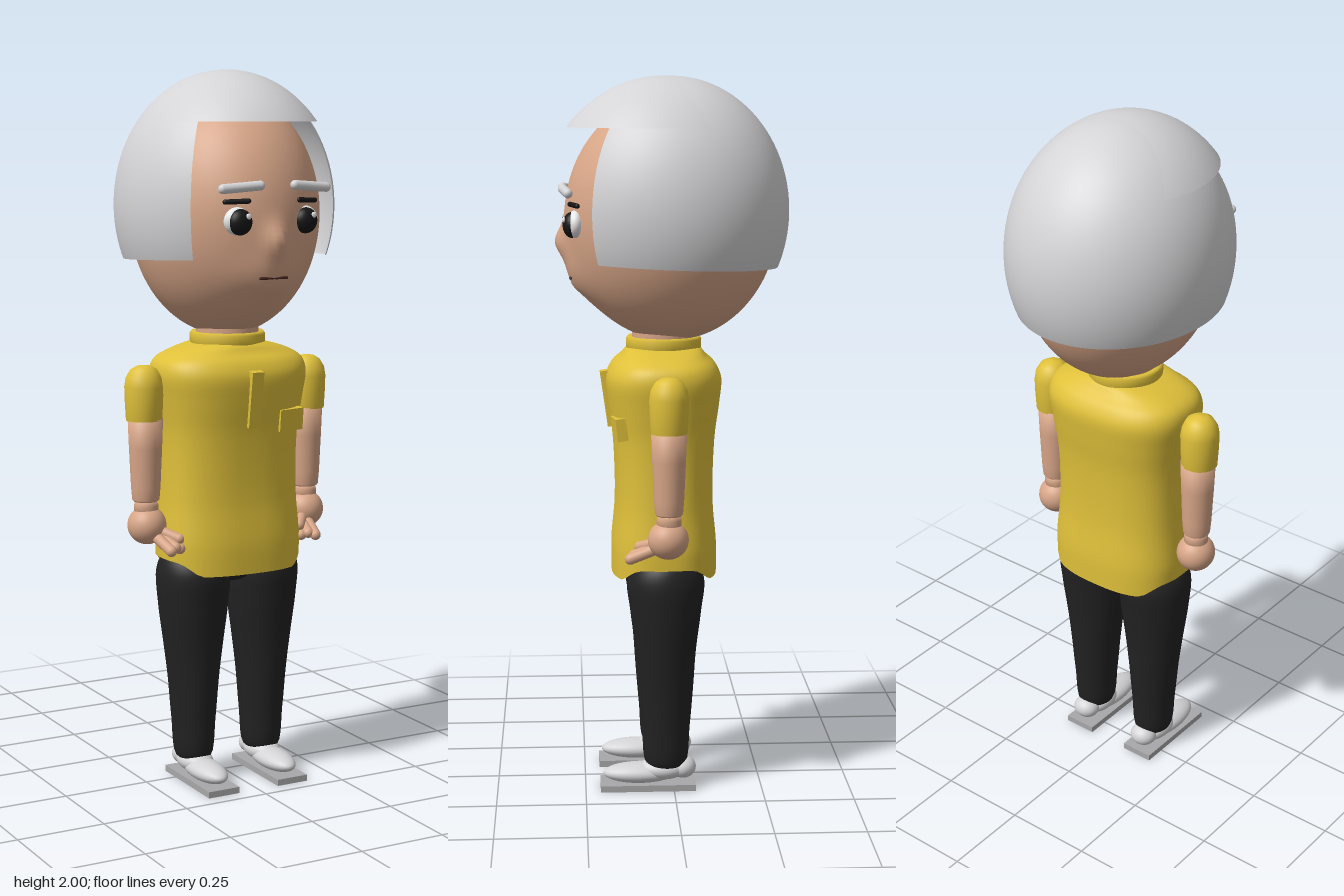
import * as THREE from 'three';
import { mergeVertices } from 'three/addons/utils/BufferGeometryUtils.js';

const mat = (name, color, side = THREE.FrontSide) => {
  const m = new THREE.MeshStandardMaterial({ color, side });
  m.name = name;
  return m;
};

export function createModel() {
  const root = new THREE.Group();
  root.name = 'figure';
  const skin = mat('skin', 0xd8a688);
  const grey = mat('light grey hair and shoes', 0xd4d4d6, THREE.DoubleSide);
  const yellow = mat('yellow shirt', 0xdfc03a, THREE.DoubleSide);
  const black = mat('black trousers', 0x222222, THREE.DoubleSide);
  const eyeBlack = mat('eye black', 0x161616);
  const white = mat('eye white', 0xf2f2f2);
  const soleGrey = mat('sole grey', 0xa8a8aa);
  const lipBrown = mat('mouth brown', 0x4a2a22);

  const add = (name, geo, material, pos = [0, 0, 0], parent = root) => {
    const m = new THREE.Mesh(geo, material);
    m.name = name;
    m.position.set(...pos);
    parent.add(m);
    return m;
  };
  const ball = (name, material, pos, radii, parent = root) => {
    const m = add(name, new THREE.SphereGeometry(1, 32, 24), material, pos, parent);
    m.scale.set(...radii);
    return m;
  };
  // rounded rod between two points
  const rod = (name, material, a, b, r, parent = root) => {
    const p = new THREE.Vector3(...a), q = new THREE.Vector3(...b);
    const d = q.clone().sub(p);
    const m = add(name, new THREE.CapsuleGeometry(r, d.length(), 8, 16), material,
      p.clone().add(q).multiplyScalar(0.5).toArray(), parent);
    m.quaternion.setFromUnitVectors(new THREE.Vector3(0, 1, 0), d.normalize());
    return m;
  };
  // smooth body through [half width, height, half depth] rings, listed upwards
  const loft = (rings, power, rule = (x, y) => y) => {
    const rows = 40, segs = 48, pos = [], idx = [];
    const curve = new THREE.CatmullRomCurve3(rings.map(r => new THREE.Vector3(...r)));
    const round = c => Math.sign(c) * Math.abs(c) ** (2 / power);
    curve.getPoints(rows).forEach(p => {
      for (let j = 0; j < segs; j++) {
        const a = j / segs * Math.PI * 2;
        const x = p.x * round(Math.cos(a));
        pos.push(x, rule(x, p.y), p.z * round(Math.sin(a)));
      }
    });
    for (let i = 0; i < rows; i++) for (let j = 0; j < segs; j++) {
      const k = (j + 1) % segs, a = i * segs + j, b = i * segs + k;
      idx.push(a, a + segs, b, b, a + segs, b + segs);
    }
    const g = new THREE.BufferGeometry();
    g.setAttribute('position', new THREE.Float32BufferAttribute(pos, 3));
    g.setIndex(idx);
    g.computeVertexNormals();
    return g;
  };

  // Head: egg with a small nose and a fuller mouth and chin
  let headGeo = new THREE.SphereGeometry(1, 96, 72).scale(0.255, 0.34, 0.297);
  headGeo.deleteAttribute('uv');
  headGeo.deleteAttribute('normal');
  headGeo = mergeVertices(headGeo, 1e-5);
  const hp = headGeo.attributes.position;
  const bump = (x, y, cy, sx, sy) => Math.exp(-((x / sx) ** 2) - ((y - cy) / sy) ** 2);
  for (let i = 0; i < hp.count; i++) {
    const x = hp.getX(i), y = hp.getY(i), z = hp.getZ(i);
    if (z > 0) hp.setZ(i, z + 0.03 * bump(x, y, -0.065, 0.032, 0.045)
      + 0.024 * bump(x, y, -0.17, 0.1, 0.07) + 0.005 * bump(x, y, -0.19, 0.045, 0.014));
  }
  headGeo.computeVertexNormals();
  add('head', headGeo, skin, [0, 1.61, 0]);
  rod('mouth', lipBrown, [-0.04, 1.447, 0.281], [0.04, 1.447, 0.281], 0.004);

  // Hair: shell open at the face, its lower edge dropping to the back
  const a = 0.82;
  const shellGeo = new THREE.SphereGeometry(1, 96, 48, Math.PI / 2 + a, Math.PI * 2 - 2 * a, 0, 1.967);
  const sp = shellGeo.attributes.position;
  for (let i = 0; i < sp.count; i++) {
    const v = new THREE.Vector3().fromBufferAttribute(sp, i);
    const s = new THREE.Spherical().setFromVector3(v);
    s.phi *= 1 - 0.019 * Math.cos(s.theta);
    v.setFromSpherical(s);
    sp.setXYZ(i, v.x, v.y, v.z);
    shellGeo.attributes.normal.setXYZ(i, v.x, v.y, v.z);
  }
  add('hairShell', shellGeo, grey, [0, 1.63, 0]).scale.set(0.3, 0.369, 0.327);
  const cap = new THREE.SphereGeometry(1, 96, 24, 0, Math.PI * 2, 0, Math.acos(0.23 / 0.37));
  add('hairFringe', cap, grey, [0, 1.63, 0.018]).scale.set(0.306, 0.37, 0.347);

  // Shirt: boxy body with raised side vents
  const hem = (x, y) => y > 0.72 ? y
    : y + 0.036 * THREE.MathUtils.smoothstep(Math.abs(x), 0.14, 0.2) * (0.72 - y) / 0.105;
  add('shirtBody', loft([[0.205, 0.615, 0.148], [0.206, 0.7, 0.148], [0.197, 0.82, 0.138],
    [0.198, 1.0, 0.143], [0.212, 1.1, 0.156], [0.222, 1.17, 0.161], [0.212, 1.205, 0.146],
    [0.175, 1.23, 0.12], [0.1, 1.252, 0.1], [0.08, 1.256, 0.08]], 2.6, hem), yellow, [0, 0, 0.023]);
  add('collar', new THREE.LatheGeometry([[0.095, 1.235], [0.105, 1.25], [0.106, 1.275],
    [0.1, 1.283], [0.085, 1.28]].map(p => new THREE.Vector2(...p)), 48), yellow, [0, 0, 0.022]);
  add('neck', new THREE.CylinderGeometry(0.088, 0.088, 0.1, 40), skin, [0, 1.25, 0.022]);
  add('placket', new THREE.BoxGeometry(0.036, 0.158, 0.03), yellow, [0, 1.107, 0.176]).rotation.x = 0.14;
  add('pocket', new THREE.BoxGeometry(0.08, 0.062, 0.03), yellow, [0.125, 1.04, 0.15]).rotation.set(0.1, 0.15, 0);
  ball('pelvis', black, [0, 0.64, 0.02], [0.16, 0.072, 0.1]);

  // Paired parts, mirrored by the sign s
  for (const s of [1, -1]) {
    const side = new THREE.Group();
    side.name = s > 0 ? 'leftSide' : 'rightSide';
    root.add(side);

    // Eye and brow
    ball('eyeWhite', white, [s * 0.1, 1.6, 0.266], [0.042, 0.038, 0.025], side);
    ball('iris', eyeBlack, [s * 0.1, 1.598, 0.277], [0.034, 0.035, 0.025], side);
    ball('eyeGlint', white, [s * 0.1 + 0.014, 1.613, 0.298], [0.008, 0.008, 0.004], side);
    rod('lash', eyeBlack, [s * 0.077, 1.653, 0.281], [s * 0.137, 1.651, 0.262], 0.007, side);
    rod('eyebrow', grey, [s * 0.053, 1.694, 0.301], [s * 0.157, 1.686, 0.287], 0.013, side);

    // Arm: short sleeve, bare forearm, wrist
    const arm = new THREE.Group();
    arm.name = 'arm';
    arm.position.set(s * 0.26, 0, 0.02);
    side.add(arm);
    const lathe = (name, pts, m) =>
      add(name, new THREE.LatheGeometry(pts.map(p => new THREE.Vector2(...p)), 36), m, [0, 0, 0], arm);
    lathe('sleeve', [[0.045, 1.047], [0.05, 1.047], [0.053, 1.1], [0.054, 1.14], [0.05, 1.165],
      [0.037, 1.187], [0.02, 1.197], [0, 1.2]], yellow);
    lathe('forearm', [[0, 0.82], [0.034, 0.82], [0.038, 0.825], [0.041, 0.86], [0.046, 0.97],
      [0.049, 1.05], [0, 1.05]], skin).position.x = -s * 0.004;
    lathe('wrist', [[0, 0.77], [0.034, 0.77], [0.034, 0.808], [0.03, 0.822], [0, 0.83]], skin).position.x = -s * 0.005;

    // Hand with curled fingers
    ball('palm', skin, [s * 0.254, 0.752, 0.022], [0.054, 0.054, 0.056], side);
    for (let i = 0; i < 4; i++) {
      const x = 0.23 - i * 0.018;
      rod('finger', skin, [s * (x + 0.012), 0.722 - i * 0.002, 0.06],
        [s * x, 0.694 + (i % 2) * 0.006, 0.125 - i * 0.01], 0.0155, side);
    }
    rod('thumb', skin, [s * 0.222, 0.735, 0.06], [s * 0.192, 0.72, 0.098], 0.015, side);

    // Leg, tapering to the ankle
    add('trouserLeg', loft([[0.03, 0.668, 0.04], [0.085, 0.655, 0.085], [0.103, 0.61, 0.108],
      [0.1, 0.52, 0.1], [0.085, 0.4, 0.085], [0.072, 0.3, 0.078], [0.062, 0.18, 0.068],
      [0.049, 0.07, 0.055], [0.02, 0.065, 0.02]].reverse(), 2), black, [s * 0.11, 0, 0.022]);

    // Shoe on a flat sole
    ball('shoeToe', grey, [s * 0.11, 0.043, 0.095], [0.046, 0.029, 0.105], side);
    ball('shoeInstep', grey, [s * 0.11, 0.055, 0.03], [0.048, 0.032, 0.07], side);
    ball('shoeHeel', grey, [s * 0.11, 0.058, -0.027], [0.04, 0.032, 0.037], side);
    add('sole', new THREE.BoxGeometry(0.096, 0.018, 0.27), soleGrey, [s * 0.11, 0.009, 0.073], side);
  }
  return root;
}
